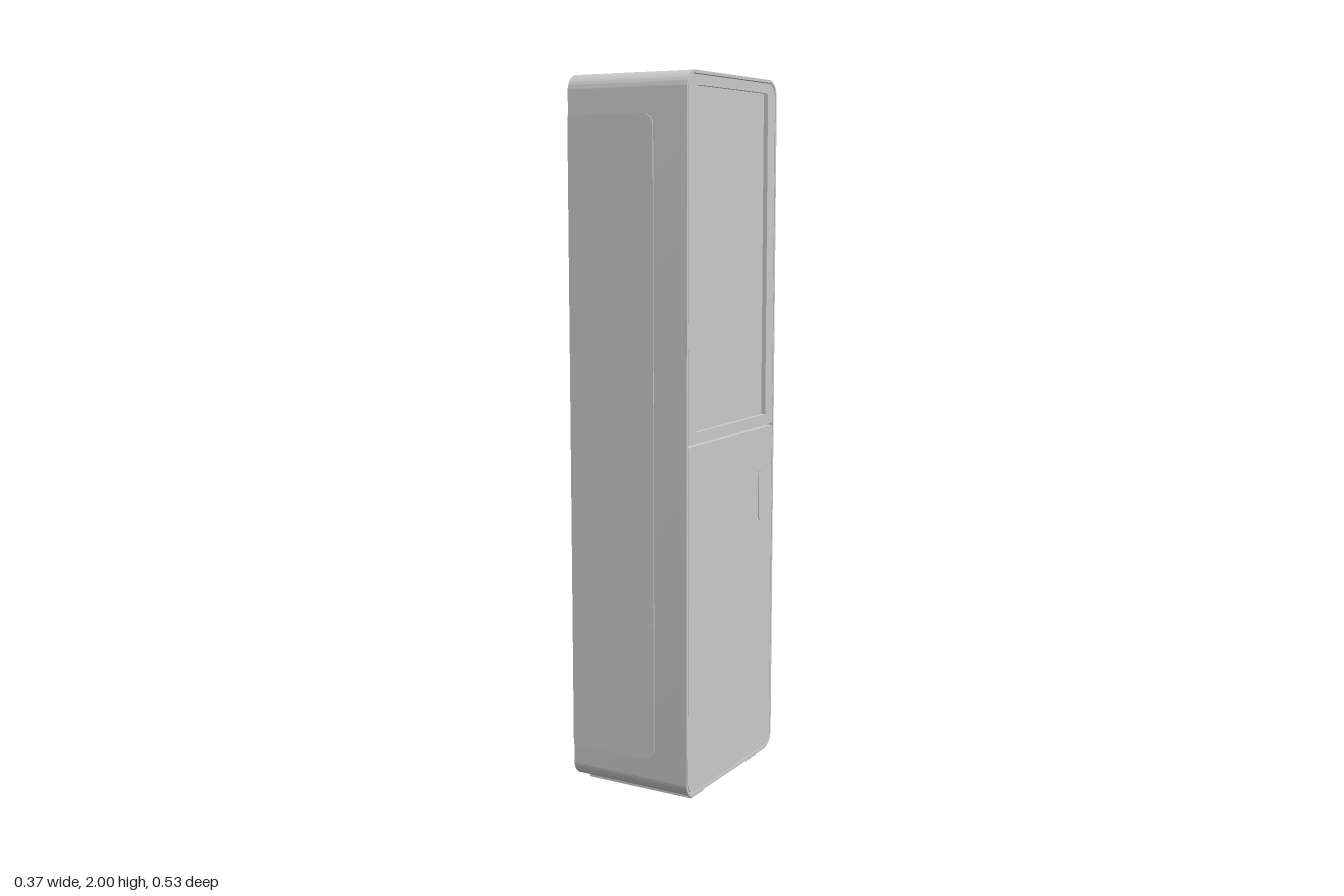
import * as THREE from 'three';
import { toCreasedNormals } from 'three/addons/utils/BufferGeometryUtils.js';

const BACK = -0.187, FRONT = 0.184, HALF = 0.26, BOTTOM = 0.018, TOP = 2;
const material = new THREE.MeshStandardMaterial({ color: 0xcccccc });

// Rectangle with one radius per corner: bottom left, bottom right, top right, top left
function roundedRect(x0, y0, x1, y1, [bl, br, tr, tl], PathType = THREE.Shape) {
  const p = new PathType();
  const corner = (cx, cy, r, start) => {
    if (r > 0) p.absarc(cx, cy, r, start, start + Math.PI / 2, false);
    else p.lineTo(cx, cy);
  };
  p.moveTo(x0 + bl, y0);
  p.lineTo(x1 - br, y0);
  corner(x1 - br, y0 + br, br, -Math.PI / 2);
  p.lineTo(x1, y1 - tr);
  corner(x1 - tr, y1 - tr, tr, 0);
  p.lineTo(x0 + tl, y1);
  corner(x0 + tl, y1 - tl, tl, Math.PI / 2);
  p.lineTo(x0, y0 + bl);
  corner(x0 + bl, y0 + bl, bl, Math.PI);
  return p;
}

function extrude(shape, depth) {
  const geo = new THREE.ExtrudeGeometry(shape, { depth, bevelEnabled: false, curveSegments: 12 });
  return toCreasedNormals(geo, 0.5);
}

// Extrudes a profile drawn in (-z, y) along x, from x0 to x1
function alongX(shape, x0, x1) {
  return extrude(shape, x1 - x0).rotateY(Math.PI / 2).translate(x0, 0, 0);
}

export function createModel() {
  const model = new THREE.Group();
  const add = (name, geometry) => {
    const mesh = new THREE.Mesh(geometry, material);
    mesh.name = name;
    model.add(mesh);
    return mesh;
  };
  const all = r => [r, r, r, r];
  const outline = () => roundedRect(-HALF, BOTTOM, HALF, TOP, all(0.045));

  // Cabinet body, with a thin rim around the doors
  const doorBack = 0.167;
  add('body', alongX(outline(), BACK, doorBack));
  const rim = outline();
  const w = 0.008;
  rim.holes.push(roundedRect(-HALF + w, BOTTOM + w, HALF - w, TOP - w, all(0.037), THREE.Path));
  add('rim', alongX(rim, doorBack, FRONT));

  // Doors, separated by a narrow seam
  const d = HALF - 0.0105, r = 0.035;
  const upper = roundedRect(-d, 1.013, d, TOP - 0.0105, [0, 0, r, r]);
  upper.holes.push(roundedRect(-0.205, 1.043, 0.205, 1.962, all(0), THREE.Path));
  add('upperDoorFrame', alongX(upper, doorBack, FRONT));
  add('upperDoorPanel', alongX(roundedRect(-0.205, 1.043, 0.205, 1.962, all(0)), doorBack - 0.005, 0.171));
  add('lowerDoor', alongX(roundedRect(-d, BOTTOM + 0.0105, d, 1.006, [r, r, 0, 0]), doorBack, FRONT));

  // Slightly tilted handle plate
  const handle = add('handle', alongX(roundedRect(-0.018, -0.083, 0.018, 0.083, all(0.0179)), -0.008, 0));
  handle.position.set(0.1855, 0.815, -0.181);
  handle.rotation.y = 0.07;

  for (const side of [1, -1]) {
    // Raised side panel, rounded towards the doors
    const panel = extrude(roundedRect(BACK, 0.115, 0.082, 1.89, [0, 0.032, 0.032, 0]), 0.006);
    panel.translate(0, 0, side > 0 ? HALF - 0.003 : -HALF - 0.003);
    add(side > 0 ? 'frontSidePanel' : 'backSidePanel', panel);

    // Foot rail
    const rail = new THREE.BoxGeometry(0.34, 0.022, 0.07);
    rail.translate(-0.004, 0.011, side * 0.165);
    add('footRail', rail);
  }
  return model;
}
